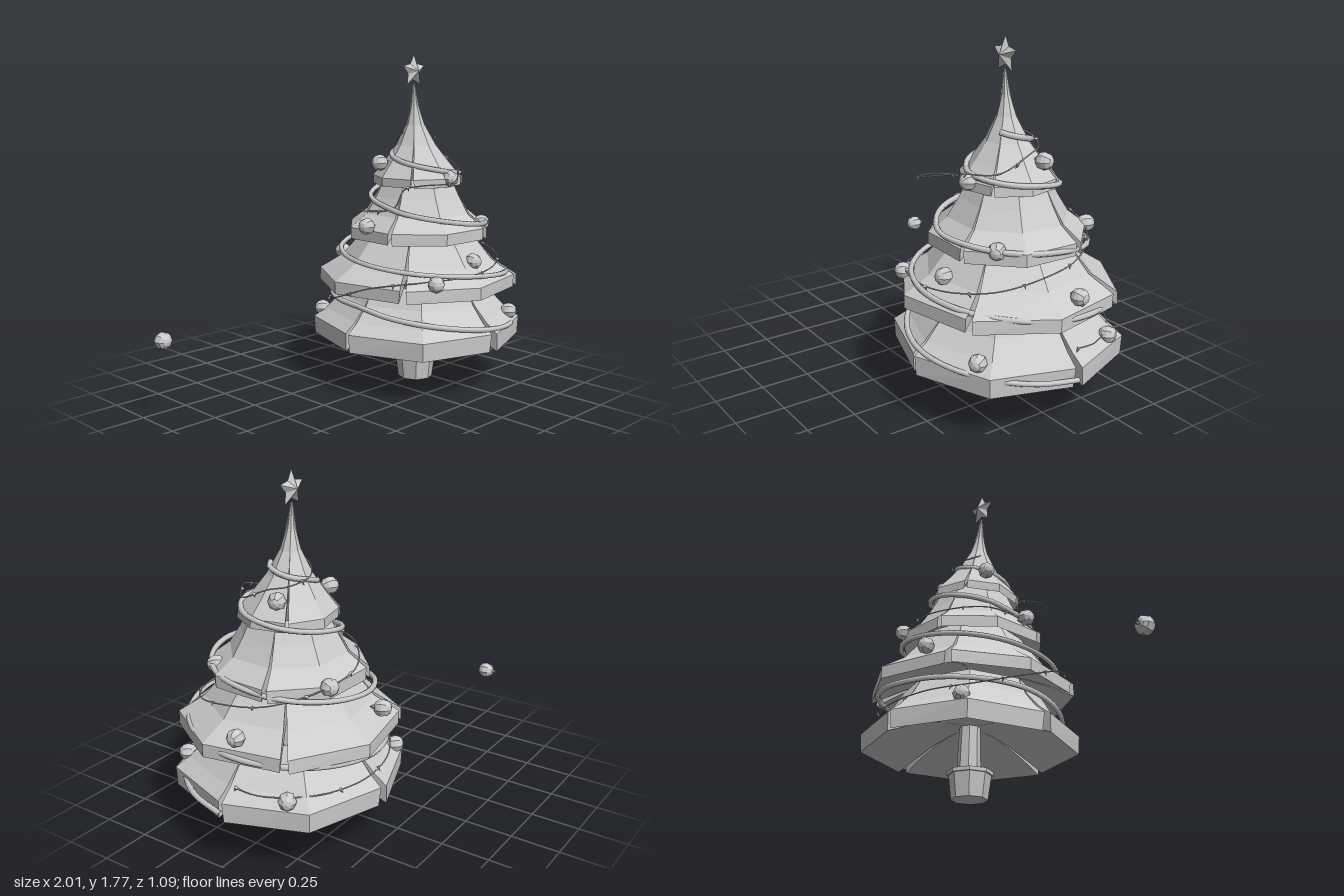
import * as THREE from 'three';

const CX = 0.455; // tree axis
const rad = THREE.MathUtils.degToRad;
const material = new THREE.MeshStandardMaterial({ color: 0xcccccc, flatShading: true });
const thin = new THREE.MeshStandardMaterial({ color: 0xcccccc, flatShading: true, side: THREE.DoubleSide });
const smooth = new THREE.MeshStandardMaterial({ color: 0xcccccc });

function add(parent, name, geometry, mat = material, x = 0, y = 0, z = 0) {
  const mesh = new THREE.Mesh(geometry, mat);
  mesh.name = name;
  mesh.position.set(x, y, z);
  parent.add(mesh);
  return mesh;
}

function facets(pos) {
  const g = new THREE.BufferGeometry();
  g.setAttribute('position', new THREE.Float32BufferAttribute(pos, 3));
  g.computeVertexNormals();
  return g;
}

// Flared skirt of four panels, two facets each, hollow below, with wedge slits between panels
function tierGeometry(profile, turn, bulge = 1, lean = 0) {
  const n = profile.length - 1;
  const [r0, y0] = profile[0];
  const [, yTop] = profile[n];
  const rise = 0.42 * Math.min(yTop - y0, 0.35);
  const pos = [];
  const point = (q, k, i, inner) => {
    const t = i / n;
    let [r, y] = profile[i];
    const open = Math.max(0, 1 - (y - y0) / Math.min(yTop - y0, 0.3));
    const edge = 1 - k;
    if (inner) {
      r = r0 + (0.04 - r0) * t;
      y = y0 + rise * Math.sin((t * Math.PI) / 2);
    }
    const a = rad(turn + q * 90 + k * 45 + 2.2 * open * edge);
    const flare = k === 1 ? bulge : 1 + 0.015 * open * edge;
    const shift = lean * Math.max(0, (y - y0) / (yTop - y0));
    return [r * flare * Math.sin(a) + shift, y, r * flare * Math.cos(a)];
  };
  const quad = (a, b, c, d) => pos.push(...a, ...b, ...c, ...a, ...c, ...d);
  for (let q = 0; q < 4; q++) {
    for (let i = 0; i < n; i++) {
      for (let k = 0; k < 2; k++) {
        quad(point(q, k, i), point(q, k + 1, i), point(q, k + 1, i + 1), point(q, k, i + 1));
        quad(point(q, k, i, true), point(q, k, i + 1, true), point(q, k + 1, i + 1, true), point(q, k + 1, i, true));
      }
      // slit walls
      quad(point(q, 0, i, true), point(q, 0, i), point(q, 0, i + 1), point(q, 0, i + 1, true));
      quad(point(q, 2, i), point(q, 2, i, true), point(q, 2, i + 1, true), point(q, 2, i + 1));
    }
  }
  return facets(pos);
}

// Five-pointed star with a raised centre on both faces
function starGeometry(outer, inner, depth) {
  const pos = [];
  const rim = (i) => {
    const r = i % 2 ? inner : outer;
    const a = (i * Math.PI) / 5;
    return [r * Math.sin(a), r * Math.cos(a), 0];
  };
  for (let i = 0; i < 10; i++) {
    pos.push(0, 0, depth, ...rim(i + 1), ...rim(i));
    pos.push(0, 0, -depth, ...rim(i), ...rim(i + 1));
  }
  return facets(pos);
}

// Bauble lying on its side: cap and hanging ring point away from its azimuth
function bauble(name, x, y, z, azimuth) {
  const g = new THREE.Group();
  g.name = name;
  add(g, 'baubleBall', new THREE.SphereGeometry(0.044, 8, 6));
  add(g, 'baubleCap', new THREE.CylinderGeometry(0.01, 0.012, 0.012, 8), material, 0, 0.045, 0);
  add(g, 'baubleRing', new THREE.TorusGeometry(0.006, 0.0025, 4, 8), material, 0, 0.054, 0);
  g.position.set(x, y, z);
  g.rotation.set(-Math.PI / 2, azimuth, 0, 'YXZ');
  return g;
}

const polar = ([az, y, r]) => new THREE.Vector3(r * Math.sin(rad(az)), y, r * Math.cos(rad(az)));

export function createModel() {
  const model = new THREE.Group();
  model.name = 'decoratedTree';
  const tree = new THREE.Group();
  tree.name = 'tree';
  tree.position.x = CX;
  model.add(tree);

  // Pot and trunk
  const pot = [[0, 0], [0.094, 0], [0.11, 0.125], [0.12, 0.125], [0.12, 0.145], [0.1, 0.145], [0.095, 0.125], [0, 0.125]]
    .map(([x, y]) => new THREE.Vector2(x, y));
  add(tree, 'pot', new THREE.LatheGeometry(pot, 8), thin, -0.006, 0, 0);
  add(tree, 'trunk', new THREE.CylinderGeometry(0.05, 0.063, 0.42, 8), material, 0.005, 0.33, 0);

  // Foliage: turn, profile, mid-panel bulge, lean of the tip
  const tiers = [
    [0, [[0.535, 0.245], [0.54, 0.34], [0.475, 0.39], [0.4, 0.47], [0.34, 0.57]], 1.05],
    [34, [[0.535, 0.535], [0.535, 0.6], [0.41, 0.68], [0.31, 0.8], [0.26, 0.87]]],
    [20, [[0.385, 0.8], [0.385, 0.86], [0.295, 0.93], [0.24, 1.02], [0.19, 1.12]]],
    [35, [[0.238, 1.08], [0.238, 1.125], [0.175, 1.2], [0.108, 1.29], [0.05, 1.4], [0.02, 1.5], [0.005, 1.62]], 1, -0.04],
  ];
  tiers.forEach(([turn, profile, bulge, lean], i) =>
    add(tree, `foliageTier${i + 1}`, tierGeometry(profile, turn, bulge, lean), thin));

  // Star
  add(tree, 'star', starGeometry(0.088, 0.047, 0.036), material, -0.04, 1.683, 0);

  // Garland: quarter turns rising from +x through the front; pairs are height and radius
  const turns = [
    [0.28, 0.54], [0.36, 0.51], [0.47, 0.45], [0.5, 0.48], [0.57, 0.5], [0.64, 0.48], [0.7, 0.43], [0.77, 0.4], [0.84, 0.36],
    [0.9, 0.38], [0.98, 0.26], [1.06, 0.25], [1.12, 0.23], [1.16, 0.22], [1.22, 0.165], [1.28, 0.115], [1.32, 0.09], [1.35, 0.08],
  ];
  const garlandPoints = [];
  for (let i = 0; i < turns.length - 1; i++) {
    for (let f = 0; f < 1; f += 0.25) {
      const [y, r] = turns[i].map((v, j) => THREE.MathUtils.lerp(v, turns[i + 1][j], f));
      garlandPoints.push(polar([90 - (i + f) * 90, y, r]));
    }
  }
  const garland = new THREE.CatmullRomCurve3(garlandPoints);
  add(tree, 'garland', new THREE.TubeGeometry(garland, 220, 0.014, 6), smooth);

  // Light string: azimuth, height and radius
  const wire = new THREE.CatmullRomCurve3([
    [-80, 1.39, 0.06], [-130, 1.34, 0.1], [180, 1.3, 0.13], [130, 1.27, 0.14], [90, 1.25, 0.15], [40, 1.18, 0.21], [0, 1.17, 0.28],
    [-25, 1.13, 0.43], [-45, 1.11, 0.36], [-65, 1.07, 0.26], [-75, 0.98, 0.27], [-120, 0.94, 0.31], [-150, 0.92, 0.33],
    [180, 0.89, 0.37], [145, 0.84, 0.38], [110, 0.78, 0.38], [75, 0.74, 0.39], [45, 0.7, 0.43], [15, 0.67, 0.45],
    [-15, 0.65, 0.47], [-45, 0.64, 0.5], [-75, 0.6, 0.52], [-100, 0.52, 0.52], [-130, 0.45, 0.49], [-160, 0.42, 0.49],
    [-190, 0.4, 0.49], [-220, 0.39, 0.49], [-250, 0.39, 0.49], [-265, 0.4, 0.48],
  ].map(polar));
  add(tree, 'lightWire', new THREE.TubeGeometry(wire, 260, 0.0035, 5), smooth);
  for (let i = 0; i <= 22; i++) {
    const p = wire.getPointAt(i / 22);
    const bulb = add(tree, 'lightBulb', new THREE.ConeGeometry(0.009, 0.028, 6), material, p.x, p.y - 0.008, p.z);
    bulb.rotation.set(Math.PI + 0.5 * Math.cos(i), 0, 0.5 * Math.sin(i));
  }

  // Baubles on the tree, caps towards the trunk
  const spots = [
    [0.26, 1.2, -0.1], [0.63, 1.215, -0.07], [0.45, 1.125, 0.23], [0.06, 0.89, 0], [0.7, 0.865, 0.25], [0.62, 0.86, -0.35],
    [0.47, 0.7, 0.38], [0.15, 0.63, 0.4], [0.925, 0.65, -0.05], [0.32, 0.67, -0.445],
    [0.765, 0.385, 0.4], [0.87, 0.38, -0.29], [0.11, 0.38, -0.39],
  ];
  for (const [x, y, z] of spots) model.add(bauble('bauble', x, y, z, Math.atan2(x - CX, z)));

  // Loose bauble lying apart
  model.add(bauble('looseBauble', -0.956, 0.41, -0.37, 0));
  return model;
}
